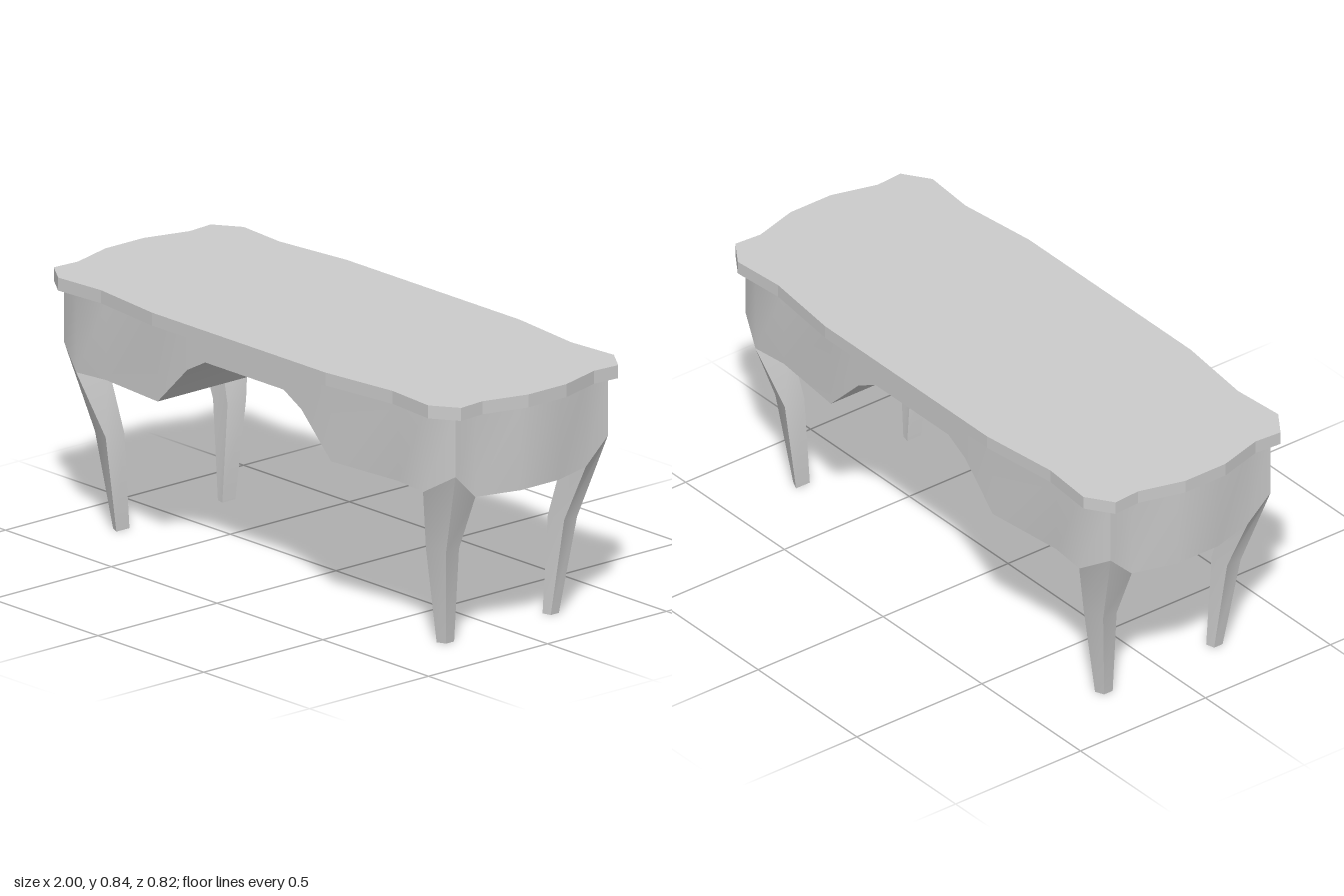
import * as THREE from 'three';
import { toCreasedNormals } from 'three/addons/utils/BufferGeometryUtils.js';

const material = new THREE.MeshStandardMaterial({ color: 0xcccccc });
const TOP = 0.84, UNDER_TOP = 0.797;

// Repeat a quarter outline (mid front to right end) around all four quadrants
function ringFrom(quarter) {
  const place = (sx, sz) => quarter.map(([x, z, y]) => [sx * x, sz * z, y]);
  return [
    ...place(1, 1), ...place(1, -1).reverse(),
    ...place(-1, -1), ...place(-1, 1).reverse(),
  ];
}

// Mesh from a list of [x, y, z] quads
function quadMesh(name, quads, flip = false) {
  const pos = [];
  for (const quad of quads) {
    const [a, b, c, d] = flip ? [...quad].reverse() : quad;
    pos.push(...a, ...b, ...c, ...a, ...c, ...d);
  }
  const geo = new THREE.BufferGeometry();
  geo.setAttribute('position', new THREE.Float32BufferAttribute(pos, 3));
  const mesh = new THREE.Mesh(toCreasedNormals(geo, 0.65), material);
  mesh.name = name;
  return mesh;
}

// Scalloped table top
function tableTop() {
  const ring = ringFrom([
    [0.41, 0.408], [0.69, 0.375], [0.875, 0.39],
    [0.963, 0.33], [0.956, 0.235], [1, 0.08],
  ]);
  const shape = new THREE.Shape(ring.map(([x, z]) => new THREE.Vector2(x, -z)));
  const geo = new THREE.ExtrudeGeometry(shape, { depth: TOP - UNDER_TOP, bevelEnabled: false });
  geo.rotateX(-Math.PI / 2).translate(0, UNDER_TOP, 0);
  const mesh = new THREE.Mesh(geo, material);
  mesh.name = 'tableTop';
  return mesh;
}

// Quarter outline of the apron: x, z and height of its lower edge
const apronQuarter = [
  [0.185, 0.385, 0.725], [0.27, 0.385, 0.68], [0.41, 0.385, 0.542],
  [0.69, 0.352, 0.538], [0.82, 0.363, 0.535], [0.925, 0.32, 0.6],
  [0.92, 0.232, 0.515], [0.963, 0.08, 0.515],
];

function apronWalls() {
  const ring = ringFrom(apronQuarter);
  return quadMesh('apronWalls', ring.map(([x, z, y], i) => {
    const [x2, z2, y2] = ring[(i + 1) % ring.length];
    return [[x, y, z], [x2, y2, z2], [x2, UNDER_TOP, z2], [x, UNDER_TOP, z]];
  }));
}

// Underside with the arch running through from front to back
function apronUnderside() {
  const half = apronQuarter.filter((_, i) => i !== 5);   // the leg fills the corner
  const stations = [...half.map(([x, z, y]) => [-x, z, y]).reverse(), ...half];
  const quads = [];
  for (let i = 0; i < stations.length - 1; i++) {
    const [x, z, y] = stations[i], [x2, z2, y2] = stations[i + 1];
    quads.push([[x, y, z], [x, y, -z], [x2, y2, -z2], [x2, y2, z2]]);
  }
  return quadMesh('apronUnderside', quads);
}

// Leg sections, top to foot: front inner, front outer, rear outer, rear inner
const legSections = [
  [[0.82, 0.535, 0.363], [0.925, 0.6, 0.32], [0.92, 0.515, 0.232], [0.82, 0.54, 0.232]],
  [[0.757, 0.32, 0.295], [0.83, 0.32, 0.275], [0.83, 0.32, 0.221], [0.757, 0.32, 0.217]],
  [[0.757, 0, 0.25], [0.787, 0, 0.237], [0.787, 0, 0.203], [0.757, 0, 0.195]],
];

function leg(name, sx, sz) {
  const s = legSections.map(sec => sec.map(([x, y, z]) => [sx * x, y, sz * z]));
  const quads = [];
  for (let k = 0; k < s.length - 1; k++) {
    for (let i = 0; i < 4; i++) {
      const j = (i + 1) % 4;
      quads.push([s[k + 1][i], s[k + 1][j], s[k][j], s[k][i]]);
    }
  }
  quads.push([...s[s.length - 1]].reverse());   // sole
  return quadMesh(name, quads, sx * sz < 0);
}

export function createModel() {
  const table = new THREE.Group();
  table.name = 'table';
  const apron = new THREE.Group();
  apron.name = 'apron';
  apron.add(apronWalls(), apronUnderside());
  table.add(tableTop(), apron);
  for (const [side, sx] of [['Left', 1], ['Right', -1]]) {
    table.add(leg(`front${side}Leg`, sx, 1), leg(`back${side}Leg`, sx, -1));
  }
  return table;
}
